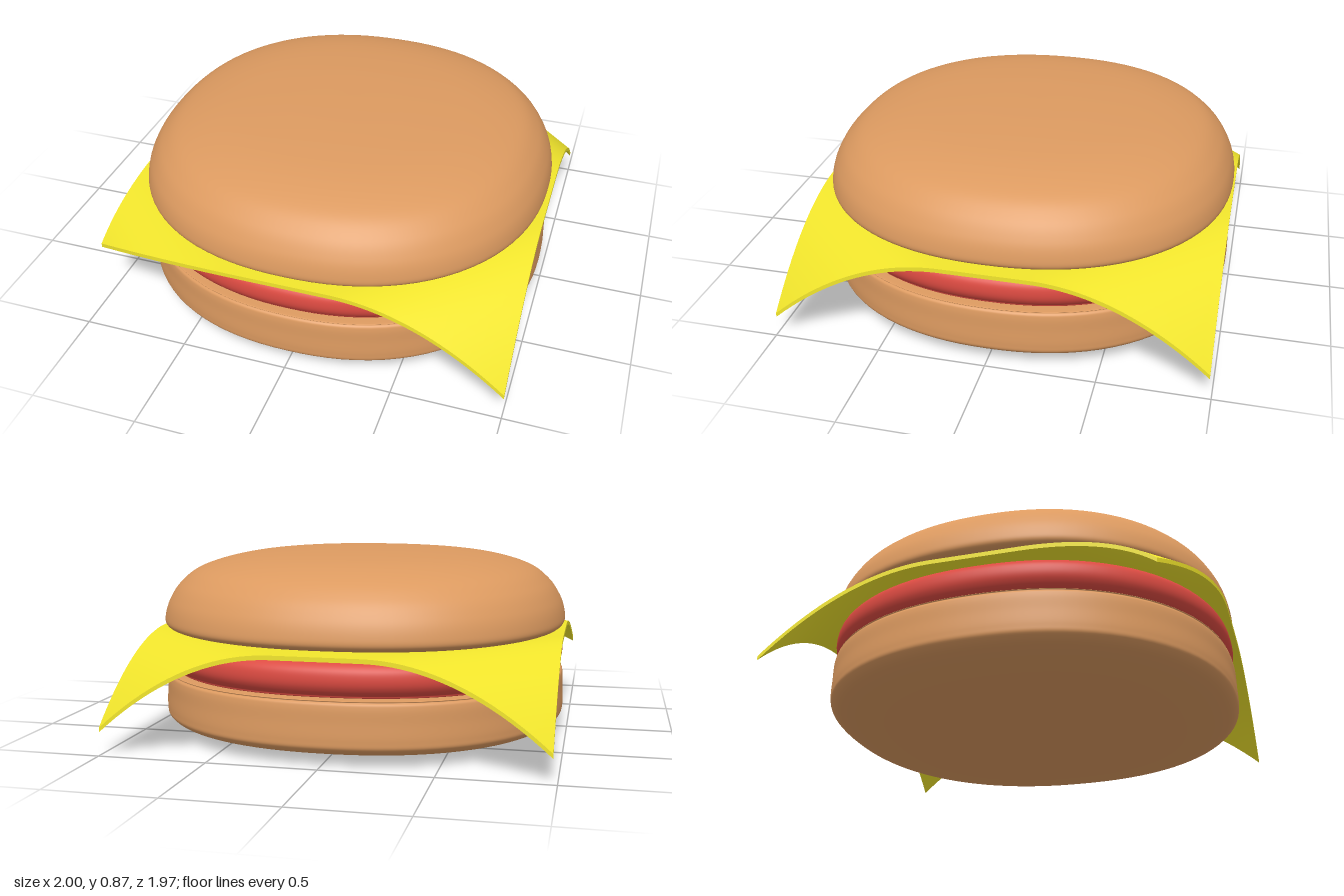
import * as THREE from 'three';
import { mergeVertices } from 'three/addons/utils/BufferGeometryUtils.js';

const bunMaterial = new THREE.MeshStandardMaterial({ color: 0xdc9a60 });
const pattyMaterial = new THREE.MeshStandardMaterial({ color: 0xdb4a41 });
const cheeseMaterial = new THREE.MeshStandardMaterial({ color: 0xf2e62c });

// Smooth round layer, turned from a profile and pushed slightly towards a square outline
function roundLayer(name, profile, material) {
  const curve = new THREE.SplineCurve(profile.map(([r, y]) => new THREE.Vector2(r, y)));
  const points = curve.getPoints(72);
  points.forEach((p) => { p.x = Math.max(p.x, 0); });
  let geometry = new THREE.LatheGeometry(points, 96);
  const pos = geometry.attributes.position;
  const power = 2.22;
  for (let i = 0; i < pos.count; i++) {
    const x = pos.getX(i), z = pos.getZ(i);
    const r = Math.hypot(x, z);
    if (r < 1e-6) continue;
    const k = Math.pow(Math.abs(x / r) ** power + Math.abs(z / r) ** power, -1 / power);
    pos.setX(i, x * k);
    pos.setZ(i, z * k);
  }
  geometry.deleteAttribute('uv');
  geometry.deleteAttribute('normal');
  geometry = mergeVertices(geometry, 1e-5);
  geometry.computeVertexNormals();
  const mesh = new THREE.Mesh(geometry, material);
  mesh.name = name;
  return mesh;
}

// Thin square slice whose corners droop along the diagonals
function cheeseSlice() {
  const geometry = new THREE.BoxGeometry(2, 0.02, 2, 48, 1, 48);
  const pos = geometry.attributes.position;
  for (let i = 0; i < pos.count; i++) {
    const x = pos.getX(i), y = pos.getY(i), z = pos.getZ(i);
    const bend = Math.max(0, (Math.abs(x) + Math.abs(z) - 1.2) / 0.8) ** 2;
    // One front corner is lifted and pulled back
    const lifted = x < 0 && z > 0;
    pos.setXYZ(
      i,
      x * 0.99 + 0.01 - (lifted ? 0.02 * bend : 0),
      y + 0.475 - (lifted ? 0.16 : 0.355) * bend,
      z * 0.987 - (lifted ? 0.195 * bend : 0),
    );
  }
  geometry.computeVertexNormals();
  const mesh = new THREE.Mesh(geometry, cheeseMaterial);
  mesh.name = 'cheeseSlice';
  return mesh;
}

export function createModel() {
  const group = new THREE.Group();
  group.name = 'burger';

  group.add(roundLayer('bottomBun', [
    [0, 0.005], [0.4, 0.01], [0.75, 0.027], [0.91, 0.052], [0.97, 0.085], [0.98, 0.125],
    [0.978, 0.2], [0.976, 0.265], [0.965, 0.29], [0.92, 0.3], [0.5, 0.302], [0, 0.302],
  ], bunMaterial));

  group.add(roundLayer('patty', [
    [0, 0.295], [0.5, 0.295], [0.88, 0.298], [0.935, 0.315], [0.965, 0.35], [0.972, 0.39],
    [0.96, 0.43], [0.92, 0.458], [0.85, 0.465], [0.5, 0.466], [0, 0.466],
  ], pattyMaterial));

  group.add(cheeseSlice());

  group.add(roundLayer('topBun', [
    [0, 0.487], [0.5, 0.487], [0.83, 0.491], [0.93, 0.503], [0.976, 0.525], [0.978, 0.57],
    [0.955, 0.64], [0.9, 0.72], [0.8, 0.79], [0.6, 0.842], [0.3, 0.868], [0, 0.874],
  ], bunMaterial));

  group.children.forEach((part) => { if (part.name !== 'cheeseSlice') part.position.x = 0.004; });
  return group;
}
